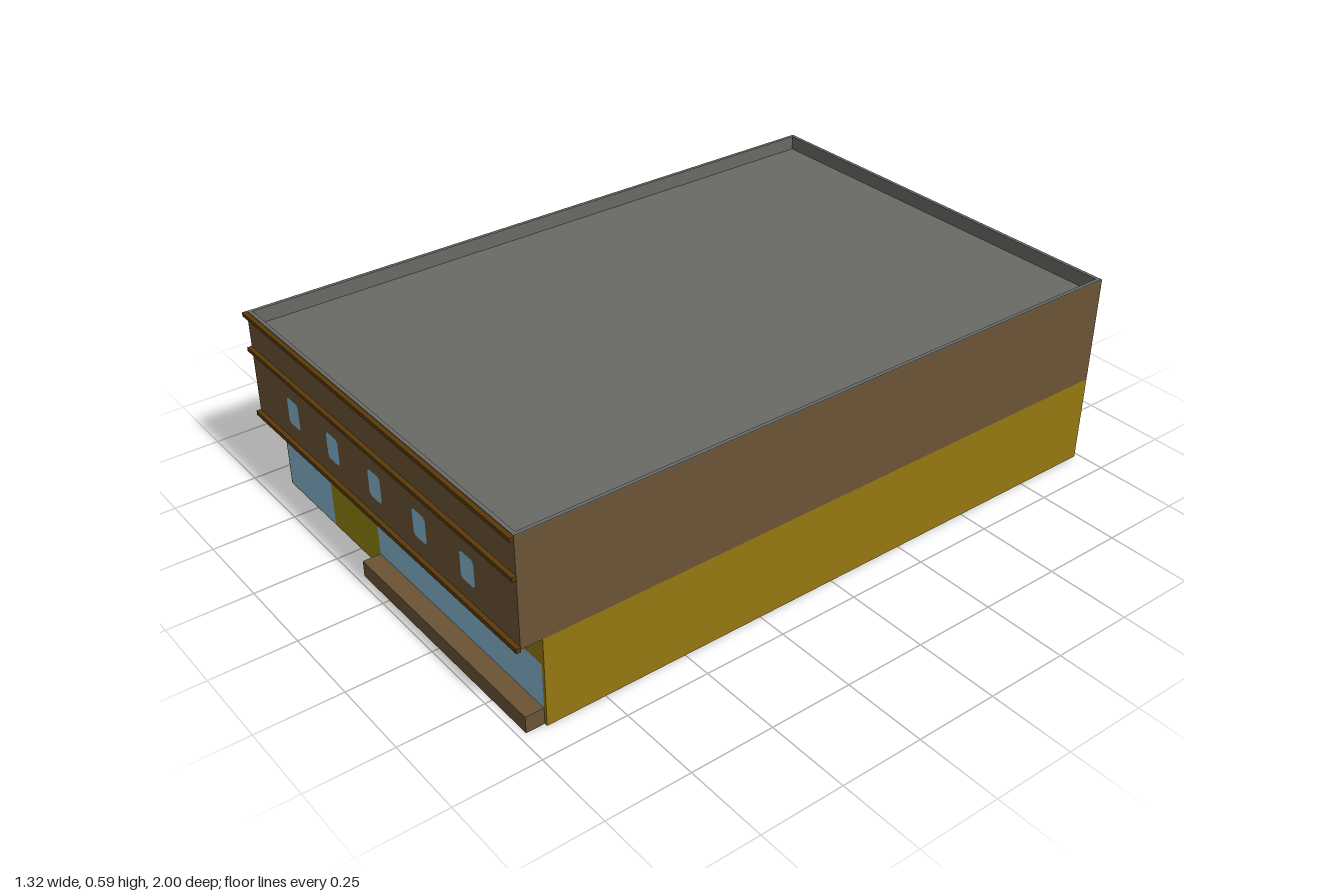
import * as THREE from 'three';

const paint = (name, color, side = THREE.DoubleSide) => {
  const m = new THREE.MeshStandardMaterial({ color, side });
  m.name = name;
  return m;
};

export function createModel() {
  const group = new THREE.Group();
  const brown = paint('brownCladding', 0x6b5436);
  const gold = paint('goldWall', 0x967810);
  const trim = paint('darkBrownTrim', 0x5a3a0a);
  const glass = paint('blueGlass', 0x86b4ce);
  const olive = paint('oliveDoor', 0x8c840e);
  const grey = paint('greyRoof', 0x696a65);
  const W = 0.66;

  const add = (name, geo, mat, x = 0, y = 0, z = 0) => {
    const mesh = new THREE.Mesh(geo, mat);
    mesh.name = name;
    mesh.position.set(x, y, z);
    group.add(mesh);
    return mesh;
  };

  // rectangle outline, for shapes and holes
  const rect = (x0, y0, x1, y1, type = THREE.Shape) => new type([
    [x0, y0], [x1, y0], [x1, y1], [x0, y1],
  ].map(([x, y]) => new THREE.Vector2(x, y)));

  const panel = (name, mat, x0, y0, x1, y1, z) =>
    add(name, new THREE.ShapeGeometry(rect(x0, y0, x1, y1)), mat, 0, 0, z);

  // side and back walls of one storey: a U-shaped strip, the back leaning slightly
  const shell = (name, mat, y0, y1, front, back0, back1) => {
    const plan = (y, back) => [[W, y, front], [W, y, back], [-W, y, back], [-W, y, front]];
    const lo = plan(y0, back0), hi = plan(y1, back1), pos = [];
    for (let i = 0; i < 3; i++) {
      pos.push(...lo[i], ...lo[i + 1], ...hi[i + 1], ...lo[i], ...hi[i + 1], ...hi[i]);
    }
    const geo = new THREE.BufferGeometry();
    geo.setAttribute('position', new THREE.Float32BufferAttribute(pos, 3));
    geo.computeVertexNormals();
    add(name, geo, mat);
  };
  shell('lowerWalls', gold, 0, 0.268, 0.925, -0.985, -0.991);
  shell('upperWalls', brown, 0.268, 0.592, 0.987, -0.991, -0.998);

  // ground floor front with one wide opening
  const lowerFront = rect(-W, 0, W, 0.268);
  lowerFront.holes.push(rect(-0.655, 0.003, 0.65, 0.185, THREE.Path));
  add('lowerFrontWall', new THREE.ShapeGeometry(lowerFront), gold, 0, 0, 0.925);
  panel('glassEntrance', glass, -0.655, 0.003, -0.395, 0.185, 0.925);
  panel('oliveDoor', olive, -0.395, 0.003, -0.135, 0.185, 0.925);
  panel('shopWindow', glass, -0.135, 0.003, 0.65, 0.185, 0.925);
  add('windowLedge', new THREE.BoxGeometry(0.785, 0.05, 0.057), brown, 0.2575, 0.025, 0.951);

  // upper front with five small windows
  const upperFront = rect(-W, 0.268, W, 0.592);
  for (let i = -2; i <= 2; i++) {
    const x = i * 0.22, c = 0.008;
    const outline = [
      [-0.031 + c, 0.329], [0.031 - c, 0.329], [0.031, 0.329 + c], [0.031, 0.411 - c],
      [0.031 - c, 0.411], [-0.031 + c, 0.411], [-0.031, 0.411 - c], [-0.031, 0.329 + c],
    ].map(([px, py]) => new THREE.Vector2(x + px, py));
    upperFront.holes.push(new THREE.Path(outline));
    add('upperWindow', new THREE.ShapeGeometry(new THREE.Shape(outline)), glass, 0, 0, 0.987);
  }
  add('upperFrontWall', new THREE.ShapeGeometry(upperFront), brown, 0, 0, 0.987);

  // underside of the overhang
  const soffit = add('soffit', new THREE.PlaneGeometry(2 * W, 0.062), brown, 0, 0.268, 0.956);
  soffit.rotation.x = Math.PI / 2;

  // horizontal trim strips across the front
  for (const [y, h] of [[0.27, 0.014], [0.477, 0.012], [0.587, 0.012]]) {
    add('frontTrim', new THREE.BoxGeometry(2 * W + 0.004, h, 0.013), trim, 0, y, 0.9935);
  }

  // sunken roof deck and the parapet around it
  const deck = add('roofDeck', new THREE.PlaneGeometry(2 * W - 0.002, 1.98), grey, 0, 0.55, -0.005);
  deck.rotation.x = -Math.PI / 2;
  const rim = rect(-W + 0.001, -0.986, W - 0.001, 0.996);
  rim.holes.push(rect(-W + 0.012, -0.975, W - 0.012, 0.985, THREE.Path));
  const parapet = add('parapet',
    new THREE.ExtrudeGeometry(rim, { depth: 0.044, bevelEnabled: false }), grey, 0, 0.55, 0);
  parapet.rotation.x = -Math.PI / 2;

  return group;
}
